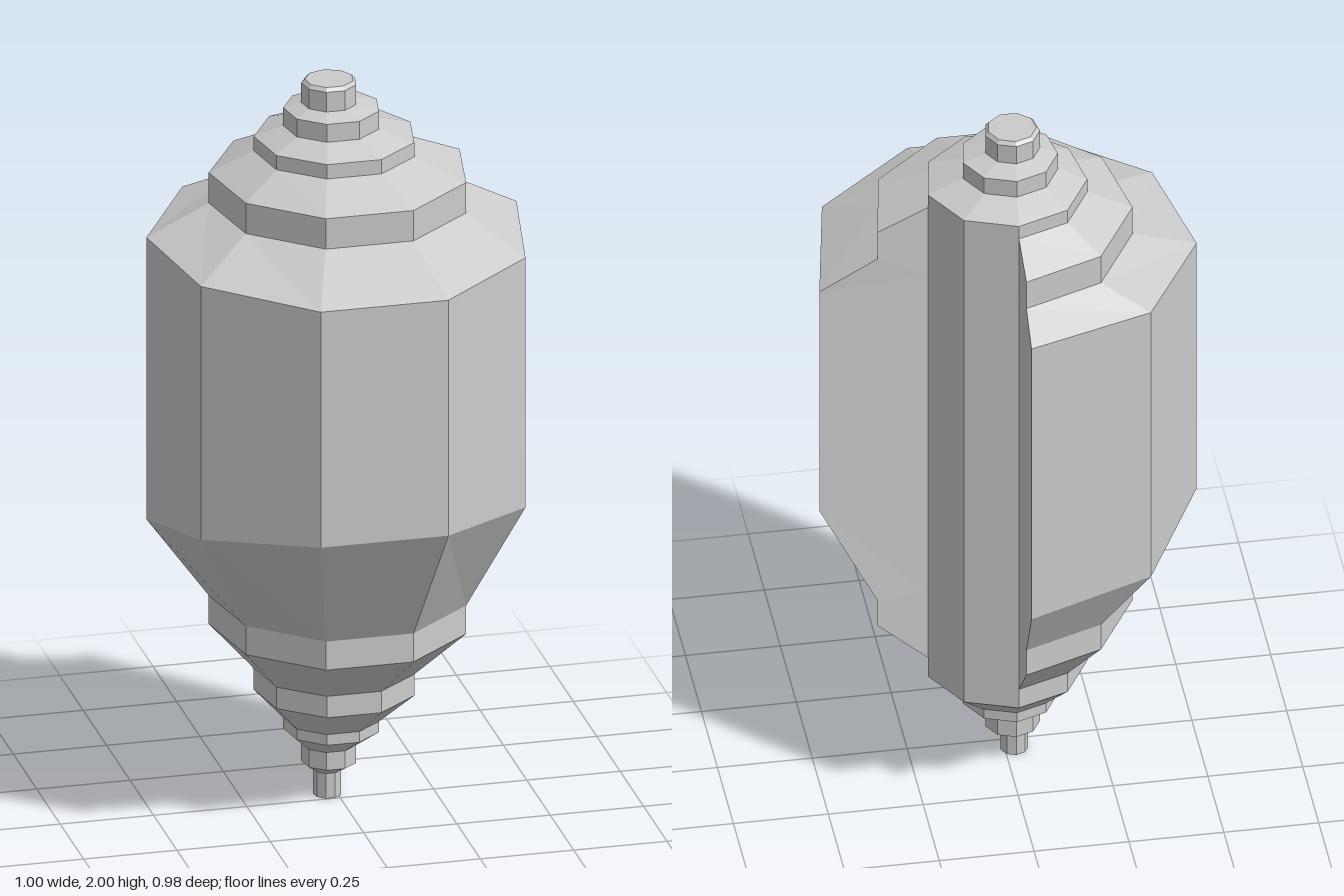
import * as THREE from 'three';

const SIDES = 9;
const material = new THREE.MeshStandardMaterial({ color: 0xcccccc, flatShading: true });

// Horizontal nine-sided ring of points
function ring(y, r, cx, cz) {
  return Array.from({ length: SIDES }, (_, i) => {
    const a = THREE.MathUtils.degToRad(-10 + 40 * i);
    return [cx + r * Math.cos(a), y, cz + r * Math.sin(a)];
  });
}

// Skin between rows listed from top to bottom; closed rows wrap round
function loft(name, rows, closed, capTop, capBottom) {
  const pos = [];
  const tri = (...p) => p.forEach((v) => pos.push(...v));
  const n = rows[0].length;
  for (let j = 0; j < rows.length - 1; j++) {
    for (let i = 0; i < (closed ? n : n - 1); i++) {
      const k = (i + 1) % n;
      const a = rows[j][i], b = rows[j + 1][i], c = rows[j + 1][k], d = rows[j][k];
      tri(b, a, d);
      tri(b, d, c);
    }
  }
  const last = rows[rows.length - 1];
  for (let i = 1; i < n - 1; i++) {
    if (capTop) tri(rows[0][0], rows[0][i + 1], rows[0][i]);
    if (capBottom) tri(last[0], last[i], last[i + 1]);
  }
  const g = new THREE.BufferGeometry();
  g.setAttribute('position', new THREE.Float32BufferAttribute(pos, 3));
  g.computeVertexNormals();
  const mesh = new THREE.Mesh(g, material);
  mesh.name = name;
  return mesh;
}

export function createModel() {
  const group = new THREE.Group();
  group.name = 'steppedBody';

  // Full-height core: knob, steps, column, lower steps and stem [y, r, cx, cz]
  const coreProfile = [
    [2.0, 0.064, -0.018, -0.045], [1.99, 0.073, -0.018, -0.045], [1.935, 0.073, -0.018, -0.045],
    [1.92, 0.127, -0.01, -0.048], [1.87, 0.127, -0.01, -0.048],
    [1.84, 0.213, 0, -0.05], [0.29, 0.213, 0, -0.05],
    [0.21, 0.127, -0.01, -0.048], [0.18, 0.127, -0.01, -0.048],
    [0.14, 0.073, -0.018, -0.045], [0.09, 0.073, -0.018, -0.045],
    [0.07, 0.037, -0.025, -0.038], [0, 0.037, -0.025, -0.038],
  ];
  group.add(loft('core', coreProfile.map((p) => ring(...p)), true, true, true));

  // Outer shell wrapped round the core, leaving a wedge open at the back
  const inner = ring(0, 0.213, 0, -0.05).slice(0, 8).map(([x, , z]) => [x, z]);
  const step = [[0.345, -0.1], [0.305, 0.13], [0.125, 0.285], [-0.11, 0.285],
    [-0.285, 0.13], [-0.327, -0.1], [-0.21, -0.3], [0, -0.38]];
  const wall = [[0.5, -0.11], [0.43, 0.265], [0.167, 0.49], [-0.175, 0.49],
    [-0.44, 0.265], [-0.5, -0.075], [-0.33, -0.37], [0.005, -0.49]];
  const wallTop = [1.58, 1.575, 1.57, 1.57, 1.58, 1.59, 1.6, 1.61];
  const wallBottom = [0.875, 0.875, 0.91, 0.91, 0.87, 0.8, 0.75, 0.74];

  // Each row starts and ends on the core, which closes the two cut faces
  const row = (outline, y) => {
    const ys = Array.isArray(y) ? y : Array(8).fill(y);
    const pts = outline.map(([x, z], i) => [x, ys[i], z]);
    return [[inner[0][0], ys[0], inner[0][1]], ...pts, [inner[7][0], ys[7], inner[7][1]]];
  };
  group.add(loft('outerShell', [
    row(inner, 1.8), row(step, 1.745), row(step, 1.66),
    row(wall, wallTop), row(wall, wallBottom),
    row(step, 0.56), row(step, 0.48), row(inner, 0.35),
  ], false));

  return group;
}
